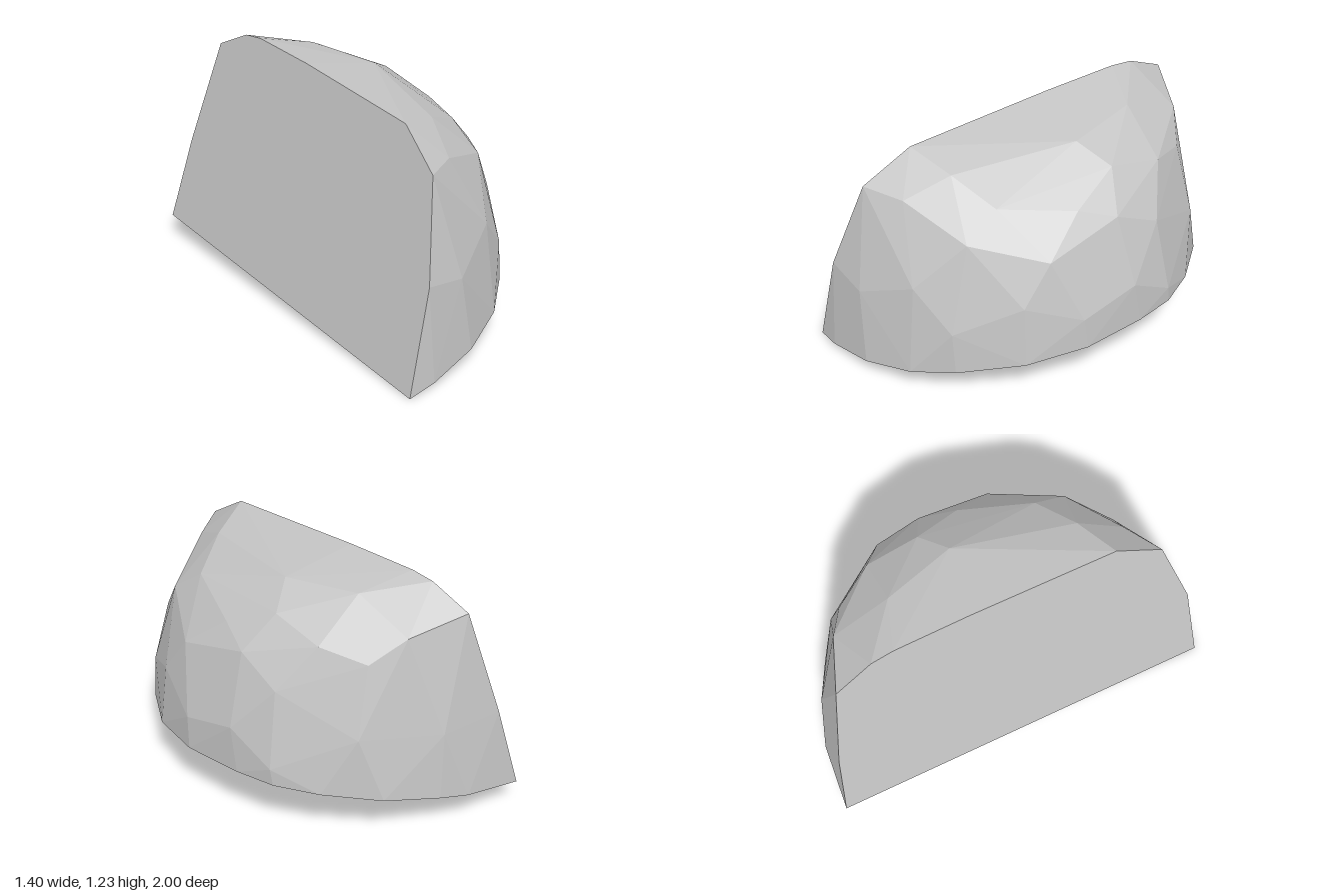
import * as THREE from 'three';
import { ConvexGeometry } from 'three/addons/geometries/ConvexGeometry.js';

// Flat base: height of the sloping underside at (x, z)
const onBase = ([x, z]) => new THREE.Vector3(x, 0.1466 + 0.1946 * x - 0.127 * z, z);

// Flat cleaved side: x of the slanted cut at (y, z)
const onCut = ([y, z]) => new THREE.Vector3(-0.7 + 0.263 * (y - 0.13) + 0.327 * (z + 0.94), y, z);

export function createModel() {
  const group = new THREE.Group();
  group.name = 'boulder';
  const stone = new THREE.MeshStandardMaterial({ color: 0xc4c4c4 });
  stone.name = 'light grey stone';

  // Rim of the underside (x, z), front corner round to back corner
  const base = [
    [-0.1, 1], [0.04, 0.96], [0.28, 0.84], [0.48, 0.66], [0.6, 0.46], [0.7, 0.14], [0.69, -0.17],
    [0.58, -0.47], [0.48, -0.65], [0.31, -0.8], [0.05, -0.94], [-0.23, -0.99], [-0.38, -1], [-0.7, -0.94],
  ].map(onBase);

  // Rim of the cleaved side (y, z), back to front
  const cut = [
    [0.57, -0.92], [1.12, -0.86], [1.22, -0.68], [1.235, -0.57], [1.222, -0.2], [1.17, 0.53], [1.01, 0.77], [0.53, 0.93],
  ].map(onCut);

  // Corners of the rounded, faceted shell
  const shell = [
    [0.22, 0.49, 0.84], [0.44, 0.63, 0.62], [0.585, 0.43, 0.47],
    [0.24, 1.0, 0.61], [0.25, 1.11, 0.38], [0.5, 0.88, 0.37], [0.43, 1.01, 0.21],
    [0.665, 0.58, 0.14], [0.615, 0.79, 0], [0.685, 0.47, -0.15], [0.475, 0.96, -0.17],
    [0.2, 1.16, -0.24], [0.32, 1.07, -0.38], [0.49, 0.9, -0.36], [0.59, 0.55, -0.43],
    [-0.01, 1.18, -0.56], [0.24, 1.01, -0.64], [0.43, 0.79, -0.58], [0.49, 0.41, -0.64],
    [0.07, 0.95, -0.8], [-0.11, 1.06, -0.84], [0.15, 0.6, -0.865], [-0.25, 0.57, -0.965],
  ].map((p) => new THREE.Vector3(...p));

  const rock = new THREE.Mesh(new ConvexGeometry([...base, ...cut, ...shell]), stone);
  rock.name = 'cleavedRock';
  group.add(rock);
  return group;
}
